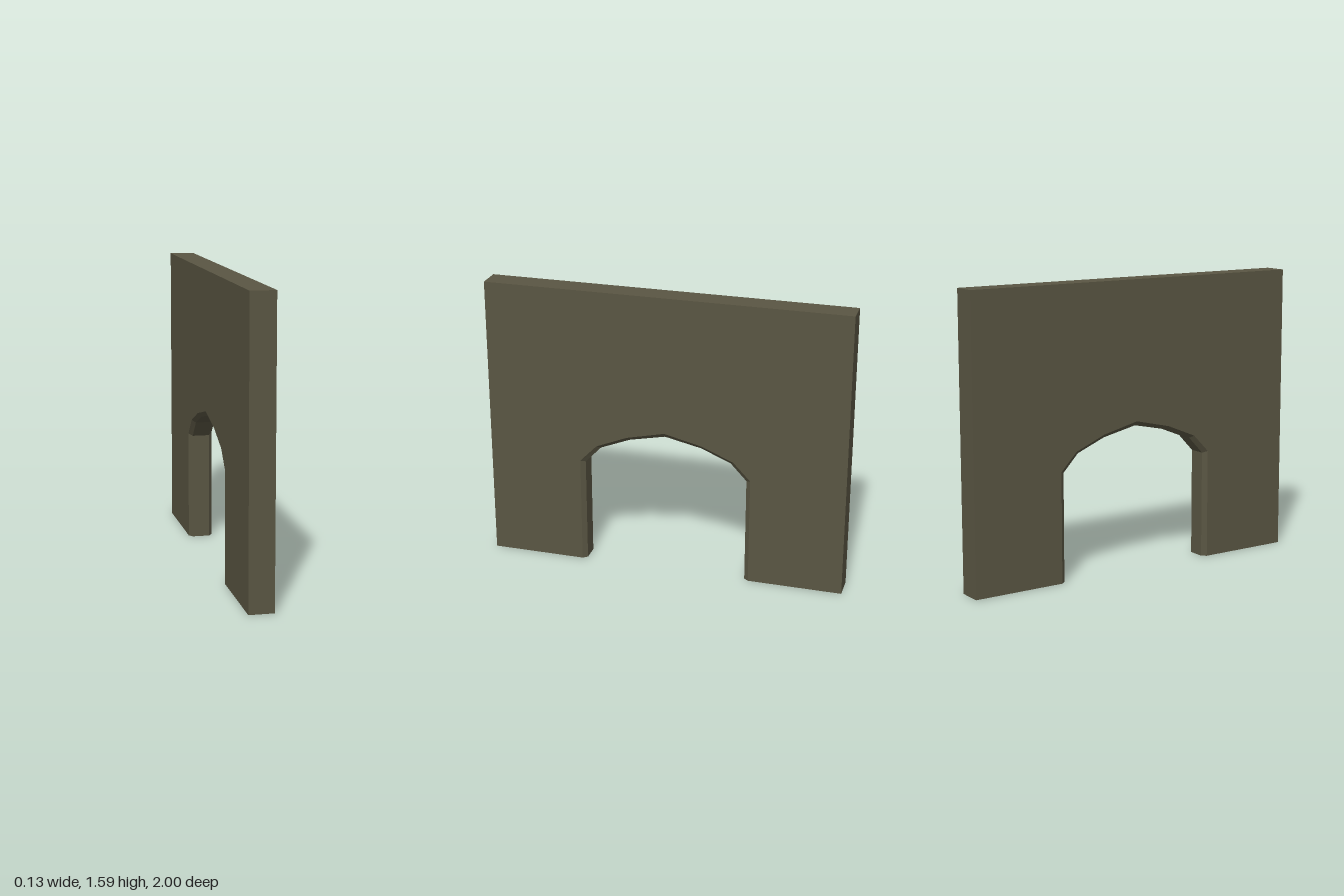
import * as THREE from 'three';

const HEIGHT = 1.59;
const OPENING = 0.455; // half width of the doorway
const BEVEL = 0.025;

export function createModel() {
  const group = new THREE.Group();
  group.name = 'archedWall';

  const stone = new THREE.MeshStandardMaterial({ color: 0x5a5643, flatShading: true });
  stone.name = 'olive stone';

  // Half of the arch, from the foot to just before the crown
  const half = [[OPENING, 0], [OPENING, 0.595], [0.365, 0.69], [0.2, 0.757]];
  const mirrored = half.map(([u, y]) => [-u, y]).reverse();
  const outline = [[-1, 0], [-1, HEIGHT], [1, HEIGHT], [1, 0], ...half, [0, 0.8], ...mirrored];
  const shape = new THREE.Shape(outline.map(([u, y]) => new THREE.Vector2(u, y)));

  // Three layers through the thickness: bevel, core, bevel
  const geometry = new THREE.ExtrudeGeometry(shape, { depth: 3, steps: 3, bevelEnabled: false });
  const layers = [-0.067, -0.047, 0.047, 0.067];
  const p = geometry.attributes.position;
  for (let i = 0; i < p.count; i++) {
    const layer = Math.round(p.getZ(i));
    const u = p.getX(i);
    const y = p.getY(i);
    p.setZ(i, layers[layer]);
    // Widen the doorway on the two outer faces to chamfer its edge
    if ((layer === 0 || layer === 3) && Math.abs(u) < 0.5 && y < 1) {
      p.setX(i, u * (1 + BEVEL / OPENING));
      if (y > 0.01) p.setY(i, y + BEVEL * (1 - 0.6 * Math.abs(u) / OPENING));
    }
  }
  geometry.rotateY(Math.PI / 2);
  geometry.computeVertexNormals();

  const wall = new THREE.Mesh(geometry, stone);
  wall.name = 'wall';
  group.add(wall);
  return group;
}
